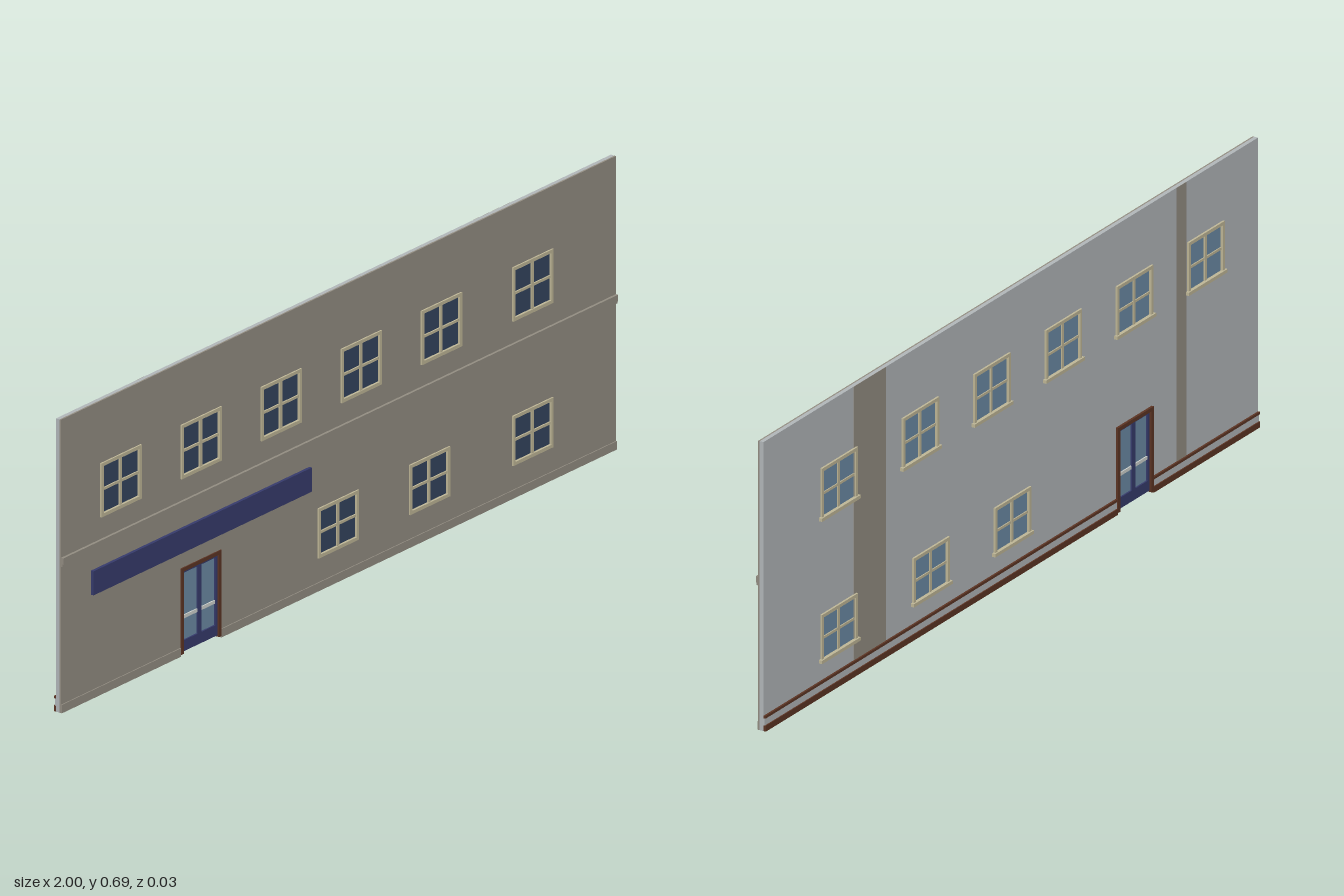
import * as THREE from 'three';

const mat = (name, color, side = THREE.FrontSide) => {
  const m = new THREE.MeshStandardMaterial({ color, side });
  m.name = name;
  return m;
};

export function createModel() {
  const stone = mat('stone', 0x938d82);
  const plaster = mat('plaster', 0xb2b7ba);
  const cream = mat('cream frame', 0xbfb797);
  const darkGlass = mat('dark glass', 0x34445f);
  const blueGlass = mat('blue glass', 0x6c8ba5);
  const navy = mat('navy', 0x363b6c);
  const brown = mat('brown wood', 0x5c3423);
  const white = mat('pale bar', 0xcfd3cf);

  const model = new THREE.Group();
  model.name = 'facade';

  // Box given by its limits on each axis
  const box = (parent, name, m, x0, x1, y0, y1, z0, z1) => {
    const mesh = new THREE.Mesh(new THREE.BoxGeometry(x1 - x0, y1 - y0, z1 - z0), m);
    mesh.position.set((x0 + x1) / 2, (y0 + y1) / 2, (z0 + z1) / 2);
    mesh.name = name;
    parent.add(mesh);
    return mesh;
  };

  const top = 0.695, half = 0.0725;
  const door = { x0: -0.57, x1: -0.425, y1: 0.208 };
  const windows = [
    ...[-0.786, -0.497, -0.209, 0.08, 0.369, 0.698].map(x => ({ x, y0: 0.42, y1: 0.548 })),
    ...[-0.003, 0.326, 0.698].map(x => ({ x, y0: 0.078, y1: 0.196 })),
  ];

  // Wall outline with a doorway notch and window holes
  const outline = new THREE.Shape([
    [-1, 0], [door.x0, 0], [door.x0, door.y1], [door.x1, door.y1], [door.x1, 0],
    [1, 0], [1, top], [-1, top],
  ].map(p => new THREE.Vector2(...p)));
  for (const w of windows) {
    const a = w.x - half, b = w.x + half;
    outline.holes.push(new THREE.Path([
      [a, w.y0], [a, w.y1], [b, w.y1], [b, w.y0],
    ].map(p => new THREE.Vector2(...p))));
  }
  const layer = (name, m, z0, z1) => {
    const geo = new THREE.ExtrudeGeometry(outline, { depth: z1 - z0, bevelEnabled: false });
    geo.translate(0, 0, z0);
    const mesh = new THREE.Mesh(geo, m);
    mesh.name = name;
    model.add(mesh);
  };
  layer('frontWall', stone, 0.004, 0.008);
  layer('backWall', plaster, -0.006, 0.004);

  // Windows: surround, crossbars, panes on both faces, rear sill
  for (const w of windows) {
    const g = new THREE.Group();
    g.name = 'window';
    model.add(g);
    const a = w.x - half, b = w.x + half, t = 0.008, mid = (w.y0 + w.y1) / 2;
    const zb = -0.011, zf = 0.012;
    box(g, 'frameLeft', cream, b - t, b, w.y0, w.y1, zb, zf);
    box(g, 'frameRight', cream, a, a + t, w.y0, w.y1, zb, zf);
    box(g, 'frameTop', cream, a + t, b - t, w.y1 - t, w.y1, zb, zf);
    box(g, 'frameBottom', cream, a + t, b - t, w.y0, w.y0 + t, zb, zf);
    box(g, 'mullion', cream, w.x - 0.004, w.x + 0.004, w.y0 + t, w.y1 - t, -0.008, 0.010);
    box(g, 'transom', cream, a + t, b - t, mid - 0.003, mid + 0.003, -0.0075, 0.0095);
    box(g, 'frontPane', darkGlass, a + t, b - t, w.y0 + t, w.y1 - t, 0, 0.006);
    box(g, 'backPane', blueGlass, a + t, b - t, w.y0 + t, w.y1 - t, -0.005, 0);
    box(g, 'sill', cream, a - 0.006, b + 0.006, w.y0 + 0.003, w.y0 + 0.011, -0.0145, -0.006);
  }

  // Double door in a brown surround
  const d = new THREE.Group();
  d.name = 'door';
  model.add(d);
  const { x0, x1, y1 } = door, f = 0.009, xm = (x0 + x1) / 2;
  box(d, 'jambRight', brown, x0, x0 + f, 0.004, y1, -0.012, 0.011);
  box(d, 'jambLeft', brown, x1 - f, x1, 0.004, y1, -0.012, 0.011);
  box(d, 'doorHead', brown, x0 + f, x1 - f, y1 - f, y1, -0.012, 0.011);
  for (const [a, b] of [[x0 + f, xm], [xm, x1 - f]]) {
    const s = 0.007;
    box(d, 'stile', navy, a, a + s, 0.007, y1 - f, -0.006, 0.006);
    box(d, 'stile', navy, b - s, b, 0.007, y1 - f, -0.006, 0.006);
    box(d, 'topRail', navy, a + s, b - s, y1 - f - 0.006, y1 - f, -0.006, 0.006);
    box(d, 'kickPanel', navy, a + s, b - s, 0.007, 0.033, -0.006, 0.006);
    box(d, 'doorGlass', blueGlass, a + s, b - s, 0.033, y1 - f - 0.006, -0.002, 0.002);
    box(d, 'pushBar', white, a + s, b - s, 0.084, 0.092, -0.005, 0.005);
  }

  // Front sign panel and string course
  box(model, 'signPanel', navy, -0.892, -0.105, 0.247, 0.304, 0.008, 0.0155);
  box(model, 'stringCourse', stone, -1, 1, 0.347, 0.368, 0.008, 0.0125);
  box(model, 'stringCourseLip', stone, -1, 1, 0.353, 0.368, 0.0125, 0.0145);

  // Front plinth and rear skirting on either side of the door
  for (const [a, b] of [[-1, x0], [x1, 1]]) {
    box(model, 'plinth', stone, a, b, 0, 0.02, 0.008, 0.0105);
    box(model, 'skirtingBase', brown, a, b, 0, 0.014, -0.012, -0.006);
    box(model, 'skirtingBoard', plaster, a, b, 0.014, 0.031, -0.009, -0.006);
    box(model, 'skirtingTrim', brown, a, b, 0.031, 0.037, -0.011, -0.006);
  }

  // Stone strips on the back where cross walls meet the facade
  for (const [a, b] of [[0.505, 0.6255], [-0.71, -0.67]])
    box(model, 'crossWallStrip', stone, a, b, 0.037, top, -0.0066, -0.006);
  box(model, 'crossWallStripEdge', stone, 0.6255, 0.636, 0.037, 0.42, -0.0066, -0.006);
  box(model, 'crossWallStripEdge', stone, 0.6255, 0.636, 0.42, top, -0.0066, -0.006);

  return model;
}
